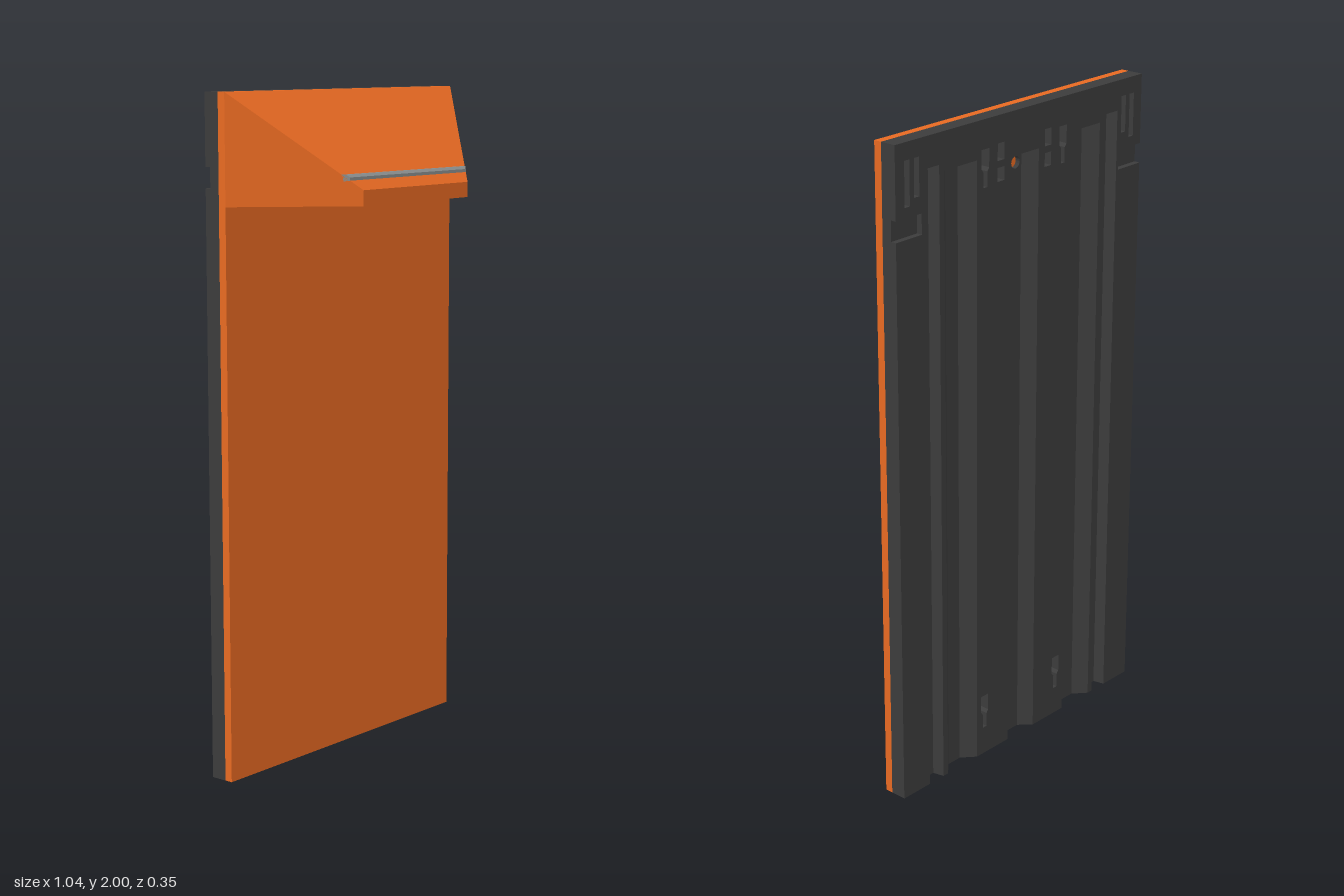
import * as THREE from 'three';
import { ConvexGeometry } from 'three/addons/geometries/ConvexGeometry.js';

const W = 0.52, H = 2;
const BACK = -0.175, FLOOR = -0.14, SEAM = -0.125, FACE = -0.1;
const v2 = (pts) => pts.map(([x, y]) => new THREE.Vector2(x, y));

export function createModel() {
  const group = new THREE.Group();
  const paint = (color) => new THREE.MeshStandardMaterial({ color, flatShading: true });
  const orange = paint(0xe86a22), dark = paint(0x3c3c3c), grey = paint(0x8c9090);

  const add = (name, geometry, material) => {
    const mesh = new THREE.Mesh(geometry, material);
    mesh.name = name;
    group.add(mesh);
    return mesh;
  };
  const box = (name, material, x0, x1, y0, y1, z0, z1) => {
    const mesh = add(name, new THREE.BoxGeometry(x1 - x0, y1 - y0, z1 - z0), material);
    mesh.position.set((x0 + x1) / 2, (y0 + y1) / 2, (z0 + z1) / 2);
  };
  const slab = (name, shape, z0, z1, material) => {
    const g = new THREE.ExtrudeGeometry(shape, { depth: z1 - z0, bevelEnabled: false, curveSegments: 8 });
    return add(name, g.translate(0, 0, z0), material);
  };

  // Front panel
  box('frontPanel', orange, -W, W, 0, H, SEAM, FACE);

  // Hood: wide at the panel, narrowing at 45 degrees to a small front face
  const hoodPoints = [];
  for (const s of [-1, 1]) {
    for (const [x, y, z] of [[W, 1.68, FACE], [W, H, FACE], [0.245, 1.68, 0.175], [0.245, 1.725, 0.175]]) {
      hoodPoints.push(new THREE.Vector3(s * x, y, z));
    }
  }
  add('hood', new ConvexGeometry(hoodPoints), orange);

  // Thin strip set across the hood's slope, its ends flush with the hood sides
  const stripPoints = [];
  for (const s of [-1, 1]) {
    for (const [z, y] of [[0.131, 1.769], [0.14, 1.769], [0.148, 1.761], [0.148, 1.752], [0.135, 1.75]]) {
      stripPoints.push(new THREE.Vector3(s * (0.42 - z), y, z));
    }
  }
  add('hoodStrip', new ConvexGeometry(stripPoints), grey);

  // Backing sheet with a small through hole that shows the panel
  const sheet = new THREE.Shape(v2([[-W, 0], [W, 0], [W, H], [-W, H]]));
  sheet.holes.push(new THREE.Path().absarc(0, 1.835, 0.018, 0, Math.PI * 2, true));
  slab('backingSheet', sheet, FLOOR, SEAM, dark);

  // Channels in the raised back, open at the bottom: [x0, x1, top, slope width]
  const channels = [
    [-0.41, -0.35, 1.91, 0.008], [-0.33, -0.2, 1.89, 0.04], [-0.06, 0.06, 1.87, 0.035],
    [0.2, 0.33, 1.89, 0.04], [0.35, 0.41, 1.91, 0.008],
  ];
  const outline = [[-W, 0]];
  for (const [x0, x1, top] of channels) outline.push([x0, 0], [x0, top], [x1, top], [x1, 0]);
  // Side edges with a shallow notch near the top
  outline.push([W, 0], [W, 1.73], [0.42, 1.73], [0.42, 1.79], [W, 1.79], [W, H]);
  outline.push([-W, H], [-W, 1.79], [-0.42, 1.79], [-0.42, 1.73], [-W, 1.73]);
  const relief = new THREE.Shape(v2(outline));

  // Slots: keyholes above and below, plus narrow ones at the top
  const keyhole = (x, y) => relief.holes.push(new THREE.Path(v2([
    [x - 0.016, y + 0.055], [x - 0.016, y], [x - 0.008, y - 0.01], [x - 0.008, y - 0.055],
    [x + 0.008, y - 0.055], [x + 0.008, y - 0.01], [x + 0.016, y], [x + 0.016, y + 0.055],
  ])));
  const slot = (x, w, y0, y1) => relief.holes.push(new THREE.Path(v2([
    [x - w / 2, y0], [x - w / 2, y1], [x + w / 2, y1], [x + w / 2, y0],
  ])));
  for (const s of [-1, 1]) {
    keyhole(s * 0.165, 1.86);
    keyhole(s * 0.165, 0.145);
    slot(s * 0.1, 0.028, 1.87, 1.92);
    slot(s * 0.1, 0.028, 1.81, 1.85);
    slot(s * 0.475, 0.02, 1.82, 1.95);
    slot(s * 0.438, 0.02, 1.84, 1.95);
    // Floor of the edge notch
    box('notchFloor', dark, s * 0.47 - 0.05, s * 0.47 + 0.05, 1.73, 1.79, -0.157, FLOOR);
  }
  slab('ribbedBack', relief, BACK, FLOOR, dark);

  // Sloping walls along both sides of every channel
  for (const [x0, x1, top, w] of channels) {
    for (const [edge, dir] of [[x0, 1], [x1, -1]]) {
      const points = [];
      for (const y of [0, top]) {
        points.push(new THREE.Vector3(edge, y, BACK), new THREE.Vector3(edge, y, FLOOR),
          new THREE.Vector3(edge + dir * w, y, FLOOR));
      }
      add('channelSlope', new ConvexGeometry(points), dark);
    }
  }
  return group;
}
